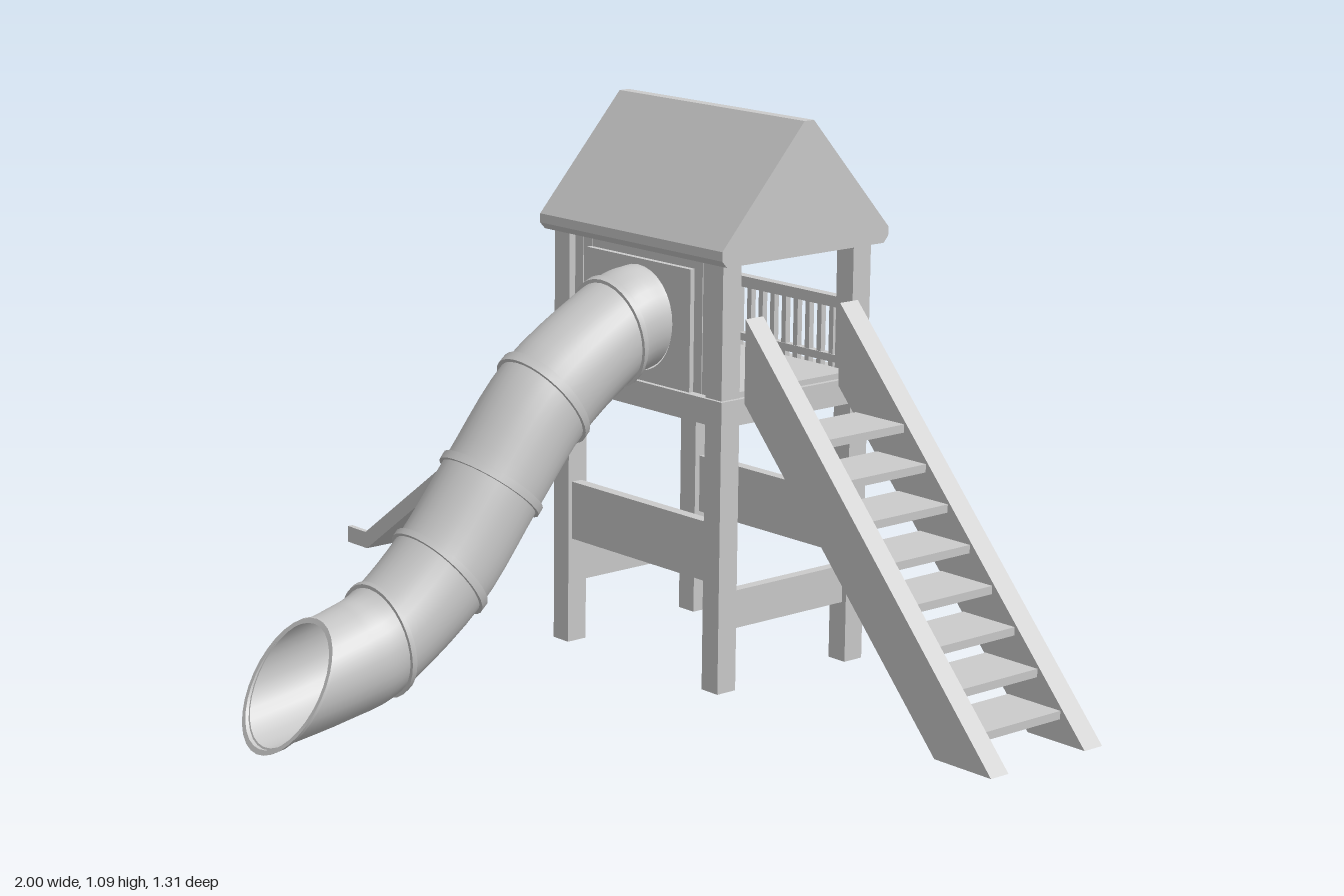
import * as THREE from 'three';
import { toCreasedNormals } from 'three/addons/utils/BufferGeometryUtils.js';
import { ParametricGeometry } from 'three/addons/geometries/ParametricGeometry.js';

const grey = new THREE.MeshStandardMaterial({ color: 0xcccccc });
const greyDouble = new THREE.MeshStandardMaterial({ color: 0xcccccc, side: THREE.DoubleSide });

export function createModel() {
  const model = new THREE.Group();

  const add = (name, geometry, material = grey) => {
    const mesh = new THREE.Mesh(geometry, material);
    mesh.name = name;
    model.add(mesh);
    return mesh;
  };
  // Box given by its extents on each axis
  const box = (name, x0, x1, y0, y1, z0, z1) =>
    add(name, new THREE.BoxGeometry(x1 - x0, y1 - y0, z1 - z0))
      .position.set((x0 + x1) / 2, (y0 + y1) / 2, (z0 + z1) / 2);
  const shapeOf = (points) => new THREE.Shape(points.map(([x, y]) => new THREE.Vector2(x, y)));
  // Side outline in x and y, given thickness from z0 to z1
  const plate = (name, shape, z0, z1) =>
    add(name, new THREE.ExtrudeGeometry(shape, { depth: z1 - z0, bevelEnabled: false, curveSegments: 24 })
      .translate(0, 0, z0));

  const midX = 0.088, midZ = -0.44;

  // Posts
  for (const x of [-0.158, 0.287])
    for (const z of [-0.63, -0.293]) box('post', x, x + 0.045, 0, 0.836, z, z + 0.046);

  // Platform and floor
  box('platform', -0.165, 0.34, 0.525, 0.575, -0.64, -0.24);
  box('floor', -0.155, 0.33, 0.575, 0.586, -0.585, -0.293);

  // Lower braces: tall ones front and back, slimmer ones on the sides
  for (const z of [-0.62, -0.28]) box('longBrace', -0.113, 0.287, 0.213, 0.33, z, z + 0.024);
  for (const x of [-0.146, 0.299]) box('sideBrace', x, x + 0.022, 0.12, 0.195, -0.585, -0.293);

  // Roof prism with a flat ridge and bevelled eaves
  const half = [[0.012, 1.09], [0.215, 0.865], [0.215, 0.847], [0.203, 0.834]];
  const roofShape = shapeOf([
    ...half.map(([a, y]) => [-midZ + a, y]).reverse(),
    ...half.map(([a, y]) => [-midZ - a, y]),
  ]);
  add('roof', new THREE.ExtrudeGeometry(roofShape, { depth: 0.53, bevelEnabled: false })
    .rotateY(Math.PI / 2).translate(-0.177, 0, 0));

  // Front wall: panel with a round opening, boards on each side
  const panel = shapeOf([[-0.065, 0.575], [0.238, 0.575], [0.238, 0.812], [-0.065, 0.812]]);
  panel.holes.push(new THREE.Path().absarc(midX, 0.692, 0.098, 0, Math.PI * 2, true));
  plate('entrancePanel', panel, -0.272, -0.25);
  box('wallHeader', -0.113, 0.287, 0.808, 0.836, -0.282, -0.262);
  for (const s of [-1, 1])
    for (const d of [0.161, 0.187]) {
      const x = midX + s * d;
      box('wallBoard', x - 0.012, x + 0.012, 0.575, 0.836, -0.28, -0.26);
    }

  // Back railing
  box('railTop', -0.113, 0.287, 0.7, 0.722, -0.62, -0.598);
  box('railBottom', -0.113, 0.287, 0.59, 0.605, -0.617, -0.601);
  for (let i = 0; i < 11; i++) {
    const x = -0.08 + i * 0.0335;
    box('baluster', x - 0.006, x + 0.006, 0.575, 0.705, -0.615, -0.603);
  }

  // Stairs: two stringers and open treads
  const stringer = shapeOf([[0.34, 0.565], [0.858, 0], [0.998, 0], [0.34, 0.727]]);
  plate('stringer', stringer, -0.343, -0.298);
  plate('stringer', stringer, -0.59, -0.543);
  for (let i = 0; i < 8; i++) {
    const y = 0.053 + i * 0.0658, x = 0.858 - y / 1.105;
    box('tread', Math.max(x - 0.004, 0.34), x + 0.126, y - 0.008, y + 0.008, -0.545, -0.341);
  }

  // Straight slide: bed and two low side walls sharing one outline
  const slideOutline = (h) => shapeOf([
    [-1, 0], [-0.93, 0], [-0.158, 0.567], [-0.158, 0.567 + h * 1.12], [-0.935, h], [-1, h],
  ]);
  plate('slideBed', slideOutline(0.012), -0.545, -0.363);
  plate('slideWall', slideOutline(0.036), -0.555, -0.543);
  plate('slideWall', slideOutline(0.036), -0.365, -0.353);

  // Bent handles at the top of the slide
  for (const z of [-0.545, -0.35]) {
    const corners = [[-0.258, 0.535], [-0.258, 0.615], [-0.18, 0.668], [-0.163, 0.668], [-0.163, 0.575]]
      .map(([x, y]) => new THREE.Vector3(x, y, z));
    const path = new THREE.CurvePath();
    for (let i = 1; i < corners.length; i++) path.add(new THREE.LineCurve3(corners[i - 1], corners[i]));
    add('slideHandle', new THREE.TubeGeometry(path, 40, 0.006, 8));
  }

  // Tube slide: sections span between an upper and a lower guide curve (z, y)
  const guide = (points) => new THREE.SplineCurve(points.map(([z, y]) => new THREE.Vector2(z, y)));
  const upper = guide([[-0.25, 0.8], [-0.163, 0.778], [0.042, 0.655], [0.188, 0.488],
    [0.298, 0.358], [0.393, 0.274], [0.455, 0.249], [0.518, 0.232]]);
  const lower = guide([[-0.25, 0.597], [-0.195, 0.578], [-0.075, 0.488], [0.033, 0.362],
    [0.17, 0.198], [0.358, 0.07], [0.475, 0.038], [0.65, 0.014]]);
  const section = (t, angle, scale, target) => {
    const a = upper.getPoint(t), b = lower.getPoint(t);
    const c = (Math.cos(angle) * scale) / 2;
    target.set(midX + Math.sin(angle) * 0.1 * scale,
      (a.y + b.y) / 2 + (a.y - b.y) * c, (a.x + b.x) / 2 + (a.x - b.x) * c);
  };
  add('tubeSlide', new ParametricGeometry(
    (u, v, target) => section(v, u * Math.PI * 2, 1, target), 32, 35), greyDouble);

  // Raised collars around the tube joints and mouth
  const collar = (name, t0, t1, outer) => {
    const steps = [[t0, 0.97], [t0, outer], [t1, outer], [t1, 0.97]];
    const geometry = new ParametricGeometry((u, v, target) => {
      const [t, scale] = steps[Math.round(v * 3)];
      section(t, u * Math.PI * 2, scale, target);
    }, 32, 3);
    add(name, toCreasedNormals(geometry, 0.6), greyDouble);
  };
  for (let i = 1; i <= 5; i++) collar('tubeCollar', i / 7 - 0.006, i / 7 + 0.006, 1.07);
  collar('tubeMouth', 0.985, 1, 1.05);

  return model;
}
